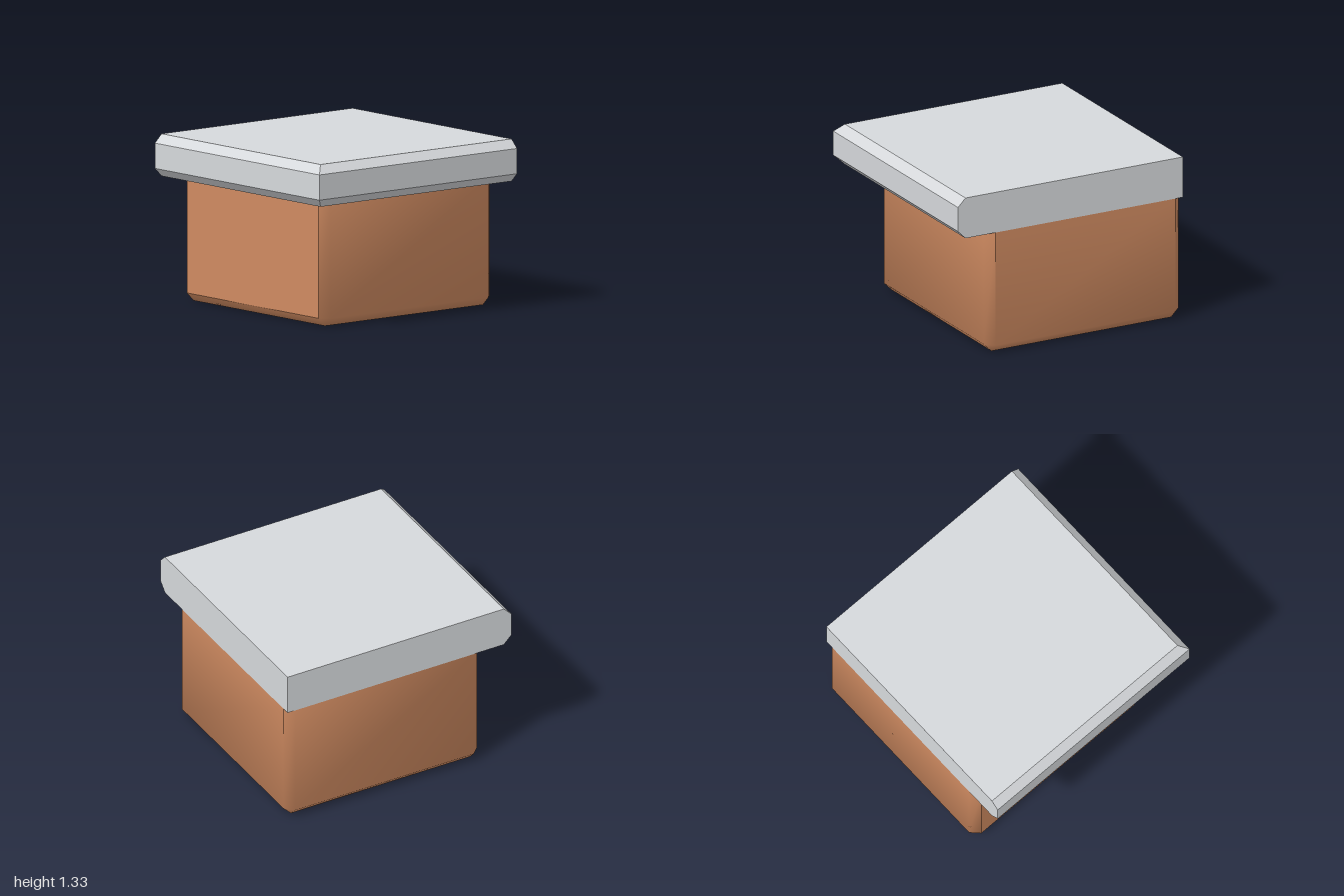
import * as THREE from 'three';

const BEVEL = 0.067;

const faceNormal = (p) => new THREE.Vector3().subVectors(p[1], p[0])
  .cross(new THREE.Vector3().subVectors(p[2], p[0])).normalize();

// Builds a geometry from convex faces; isSoft(face, corner) picks the corners with shared normals.
function fromFaces(faces, isSoft = () => false) {
  const key = (v) => v.toArray().map((n) => n.toFixed(3)).join();
  const normals = faces.map(faceNormal);
  const shared = {};
  faces.forEach((face, f) => face.forEach((v) => {
    if (isSoft(normals[f], v)) (shared[key(v)] ??= new THREE.Vector3()).add(normals[f]);
  }));
  const position = [], normal = [];
  faces.forEach((face, f) => {
    for (let i = 1; i < face.length - 1; i++) {
      for (const v of [face[0], face[i], face[i + 1]]) {
        const n = isSoft(normals[f], v) ? shared[key(v)].clone().normalize() : normals[f];
        position.push(v.x, v.y, v.z);
        normal.push(n.x, n.y, n.z);
      }
    }
  });
  const geometry = new THREE.BufferGeometry();
  geometry.setAttribute('position', new THREE.Float32BufferAttribute(position, 3));
  geometry.setAttribute('normal', new THREE.Float32BufferAttribute(normal, 3));
  return geometry;
}

// Side faces between two rings of equal length; repeated corners collapse to triangles.
function band(low, high) {
  return low.map((a, i) => {
    const j = (i + 1) % low.length;
    return a.equals(low[j]) ? [a, high[j], high[i]] : [a, low[j], high[j], high[i]];
  });
}

const ring = (points, y) => points.map(([x, z]) => new THREE.Vector3(x, y, z));

// Slab bevelled along its front and its -x side only
function worktopGeometry() {
  const outline = (d) => [[1, 1 - d], [1, -1], [-1 + d, -1], [-1 + d, 1 - d]];
  const rings = [[1, BEVEL], [1 + BEVEL, 0], [1.333 - BEVEL, 0], [1.333, BEVEL]]
    .map(([y, d]) => ring(outline(d), y));
  const faces = [[...rings[0]].reverse(), rings[3]];
  for (let i = 0; i < 3; i++) faces.push(...band(rings[i], rings[i + 1]));
  return fromFaces(faces);
}

// Block with bevelled upright corners and a bevelled foot, softly shaded
function cabinetGeometry() {
  const x0 = -0.733, x1 = 1, z0 = -1, z1 = 0.733, d = BEVEL;
  const octagon = [
    [x1, z1 - d], [x1, z0 + d], [x1 - d, z0], [x0 + d, z0],
    [x0, z0 + d], [x0, z1 - d], [x0 + d, z1], [x1 - d, z1],
  ];
  const inner = [[x1 - d, z1 - d], [x1 - d, z0 + d], [x0 + d, z0 + d], [x0 + d, z1 - d]];
  const foot = octagon.map((_, i) => inner[Math.floor(((i + 1) % 8) / 2)]);
  const faces = [
    ring(inner, 0).reverse(),
    ...band(ring(foot, 0), ring(octagon, d)),
    ...band(ring(octagon, d), ring(octagon, 1)),
  ];
  // The -x side stays flat, and the +x side is crisp along its top edge
  return fromFaces(faces, (n, v) => !(n.x < -0.99 || (n.x > 0.99 && v.y > 0.99)));
}

export function createModel() {
  const wood = new THREE.MeshStandardMaterial({ color: 0xd08b61 });
  wood.name = 'wood';
  const stone = new THREE.MeshStandardMaterial({ color: 0xd6d9dc });
  stone.name = 'pale grey stone';

  const model = new THREE.Group();
  model.name = 'cornerCounter';
  const cabinet = new THREE.Mesh(cabinetGeometry(), wood);
  cabinet.name = 'cabinet';
  const worktop = new THREE.Mesh(worktopGeometry(), stone);
  worktop.name = 'worktop';
  model.add(cabinet, worktop);
  return model;
}
